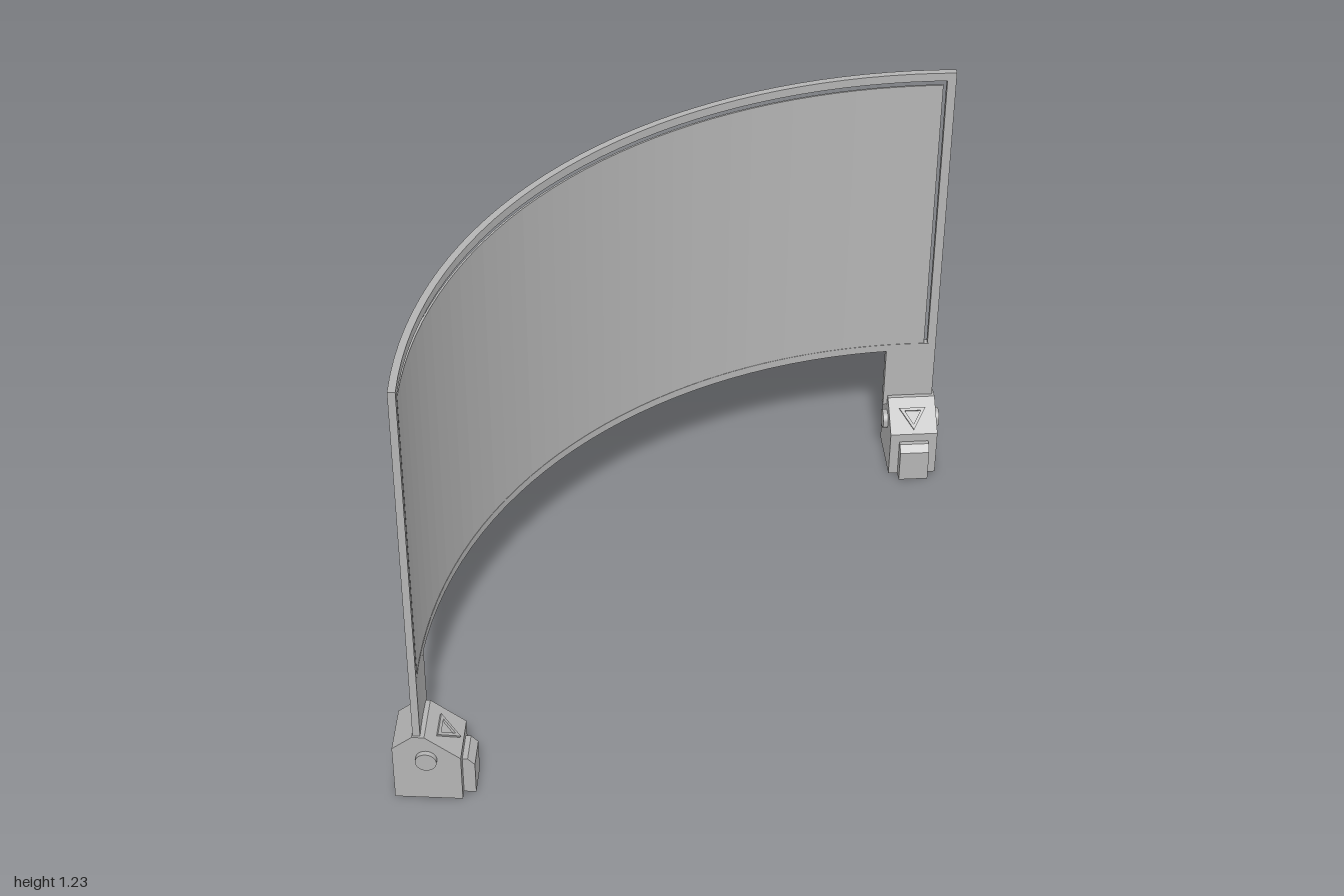
import * as THREE from 'three';
import { toCreasedNormals } from 'three/addons/utils/BufferGeometryUtils.js';

const OUTER = 1.37, INNER = 1.352;   // radii of the curved frame
const CENTRE_Z = 1.127;              // centre of the arc
const END = 0.777;                   // half angle of the arc

export function createModel() {
  const root = new THREE.Group();
  const grey = new THREE.MeshStandardMaterial({ color: 0xb4b4b4 });
  grey.name = 'grey';

  const add = (parent, name, geometry) => {
    const mesh = new THREE.Mesh(geometry, grey);
    mesh.name = name;
    parent.add(mesh);
    return mesh;
  };

  // Curved slab between two angles (0 = straight back), two radii and two heights
  const slab = (name, a0, a1, y0, y1, segments, rOut = OUTER, rIn = INNER) => {
    const shape = new THREE.Shape();
    shape.absarc(0, 0, rOut, Math.PI / 2 - a1, Math.PI / 2 - a0, false);
    shape.absarc(0, 0, rIn, Math.PI / 2 - a0, Math.PI / 2 - a1, true);
    const g = new THREE.ExtrudeGeometry(shape, {
      depth: y1 - y0, bevelEnabled: false, curveSegments: segments,
    });
    g.rotateX(-Math.PI / 2).translate(0, y0, CENTRE_Z);
    return add(root, name, g);
  };

  // Side profile in (depth, height), extruded across the width
  const profile = (points, width) => {
    const shape = new THREE.Shape(points.map(([d, y]) => new THREE.Vector2(d, y)));
    const g = new THREE.ExtrudeGeometry(shape, { depth: width, bevelEnabled: false });
    return g.translate(0, 0, -width / 2).rotateY(-Math.PI / 2);
  };

  // Frame and screen, with a narrow gap at the top and sides
  slab('topRail', -END, END, 1.205, 1.228, 18);
  slab('bottomRail', -END, END, 0.353, 0.375, 18);
  slab('screenPanel', -END + 0.024, END - 0.024, 0.375, 1.192, 18, 1.358, 1.353);

  for (const side of [-1, 1]) {
    const label = side > 0 ? 'left' : 'right';
    const span = (w) => (side > 0 ? [END - w, END] : [-END, -END + w]);
    slab(label + 'Stile', ...span(0.017), 0.375, 1.205, 1);
    slab(label + 'Leg', ...span(0.1), 0.17, 0.353, 2);

    // Foot, turned to face the middle of the arc
    const foot = new THREE.Group();
    foot.name = label + 'Foot';
    foot.position.set(side * 0.9105, 0, 0.1166);
    foot.rotation.y = -side * 0.726;
    root.add(foot);

    add(foot, 'footBody', profile([
      [-0.06, 0], [0.105, 0], [0.105, 0.135], [0.02, 0.2], [-0.01, 0.2], [-0.06, 0.16],
    ], 0.13));
    add(foot, 'footToe', profile([
      [0.1, 0], [0.135, 0], [0.135, 0.092], [0.118, 0.11], [0.1, 0.11],
    ], 0.08));

    // Bolt heads on both sides
    for (const s of [-1, 1]) {
      const bolt = new THREE.CylinderGeometry(0.026, 0.026, 0.014, 24).rotateZ(Math.PI / 2);
      add(foot, 'boltHead', toCreasedNormals(bolt, 0.6)).position.set(s * 0.071, 0.13, 0.022);
    }

    // Raised triangular outline on the sloped front
    const triangle = (r) => [-90, 30, 150].map((deg) => {
      const a = deg * Math.PI / 180;
      return new THREE.Vector2(r * Math.cos(a), r * Math.sin(a));
    });
    const ring = new THREE.Shape(triangle(0.042));
    ring.holes.push(new THREE.Path(triangle(0.026)));
    const marker = add(foot, 'triangleMarker',
      new THREE.ExtrudeGeometry(ring, { depth: 0.006, bevelEnabled: false }));
    marker.position.set(0, 0.1675, 0.0625);
    marker.rotation.x = -Math.atan2(0.085, 0.065);
  }
  return root;
}
